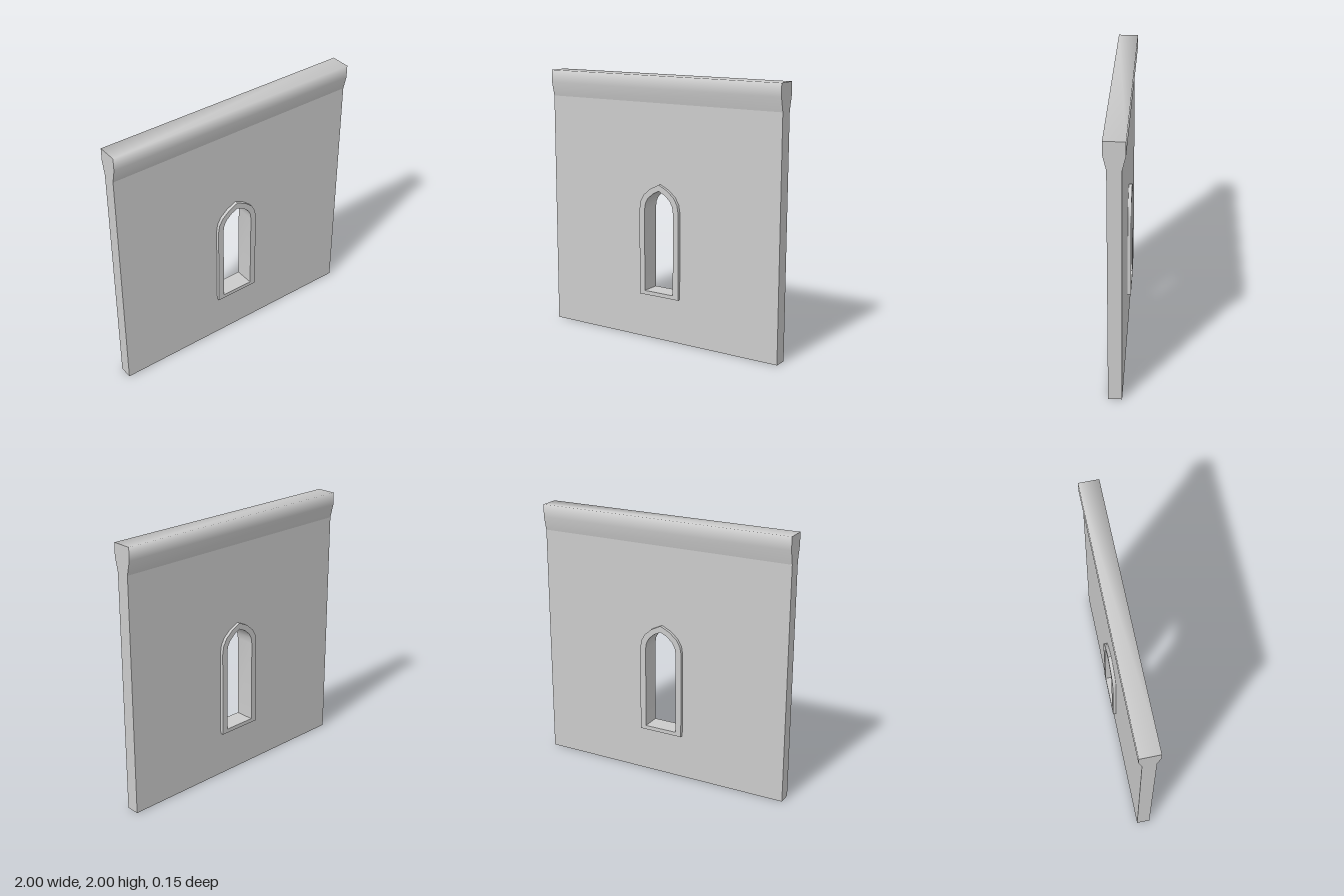
import * as THREE from 'three';
import { toCreasedNormals } from 'three/addons/utils/BufferGeometryUtils.js';

const material = new THREE.MeshStandardMaterial({ color: 0xcccccc });

function addMesh(parent, name, geometry) {
  const mesh = new THREE.Mesh(geometry, material);
  mesh.name = name;
  parent.add(mesh);
  return mesh;
}

// Pointed-arch outline: straight jambs, a flat sill and a faceted arch
function archPoints(halfWidth, sill, spring, apex) {
  const rise = apex - spring;
  const arc = [[1, 0], [0.94, 0.31], [0.77, 0.57], [0.43, 0.82]];
  const right = arc.map(([u, v]) => [u * halfWidth, spring + v * rise]);
  const left = right.map(([x, y]) => [-x, y]).reverse();
  return [[halfWidth, sill], ...right, [0, apex], ...left, [-halfWidth, sill]]
    .map(([x, y]) => new THREE.Vector2(x, y));
}

// Extrude a shape to a given thickness, centred on z = 0
function slab(shape, depth) {
  const g = new THREE.ExtrudeGeometry(shape, { depth, bevelEnabled: false });
  g.translate(0, 0, -depth / 2);
  return toCreasedNormals(g, 0.7);
}

export function createModel() {
  const model = new THREE.Group();
  model.name = 'wallWithWindow';

  // Wall panel; its opening is hidden inside the frame
  const wall = new THREE.Shape([[-1, 0], [1, 0], [1, 1.8], [-1, 1.8]].map(p => new THREE.Vector2(...p)));
  wall.holes.push(new THREE.Path(archPoints(0.15, 0.36, 1, 1.178)));
  addMesh(model, 'wall', slab(wall, 0.1));

  // Window frame, standing proud of both wall faces
  const frame = new THREE.Shape(archPoints(0.173, 0.343, 1, 1.2));
  frame.holes.push(new THREE.Path(archPoints(0.127, 0.373, 1, 1.153)));
  addMesh(model, 'windowFrame', slab(frame, 0.15));

  // Coping: one strip bent over the profile [z, y], with softly shaded edges
  const coping = new THREE.Group();
  coping.name = 'coping';
  model.add(coping);
  const profile = [[-0.05, 1.8], [-0.075, 1.905], [-0.075, 2], [0.075, 2], [0.075, 1.905], [0.05, 1.8]];
  const strip = new THREE.PlaneGeometry(2, 1, 1, profile.length - 1);
  const pos = strip.attributes.position;
  for (let i = 0; i < pos.count; i++) {
    const [z, y] = profile[Math.floor(i / 2)];
    pos.setXYZ(i, pos.getX(i), y, z);
  }
  strip.computeVertexNormals();
  addMesh(coping, 'copingSurface', strip);

  // Flat coping ends
  const endShape = new THREE.Shape(profile.map(([z, y]) => new THREE.Vector2(z, y)));
  for (const side of [-1, 1]) {
    const end = addMesh(coping, side > 0 ? 'leftCopingEnd' : 'rightCopingEnd', new THREE.ShapeGeometry(endShape));
    end.rotation.y = side * Math.PI / 2;
    end.position.x = side;
  }
  return model;
}
